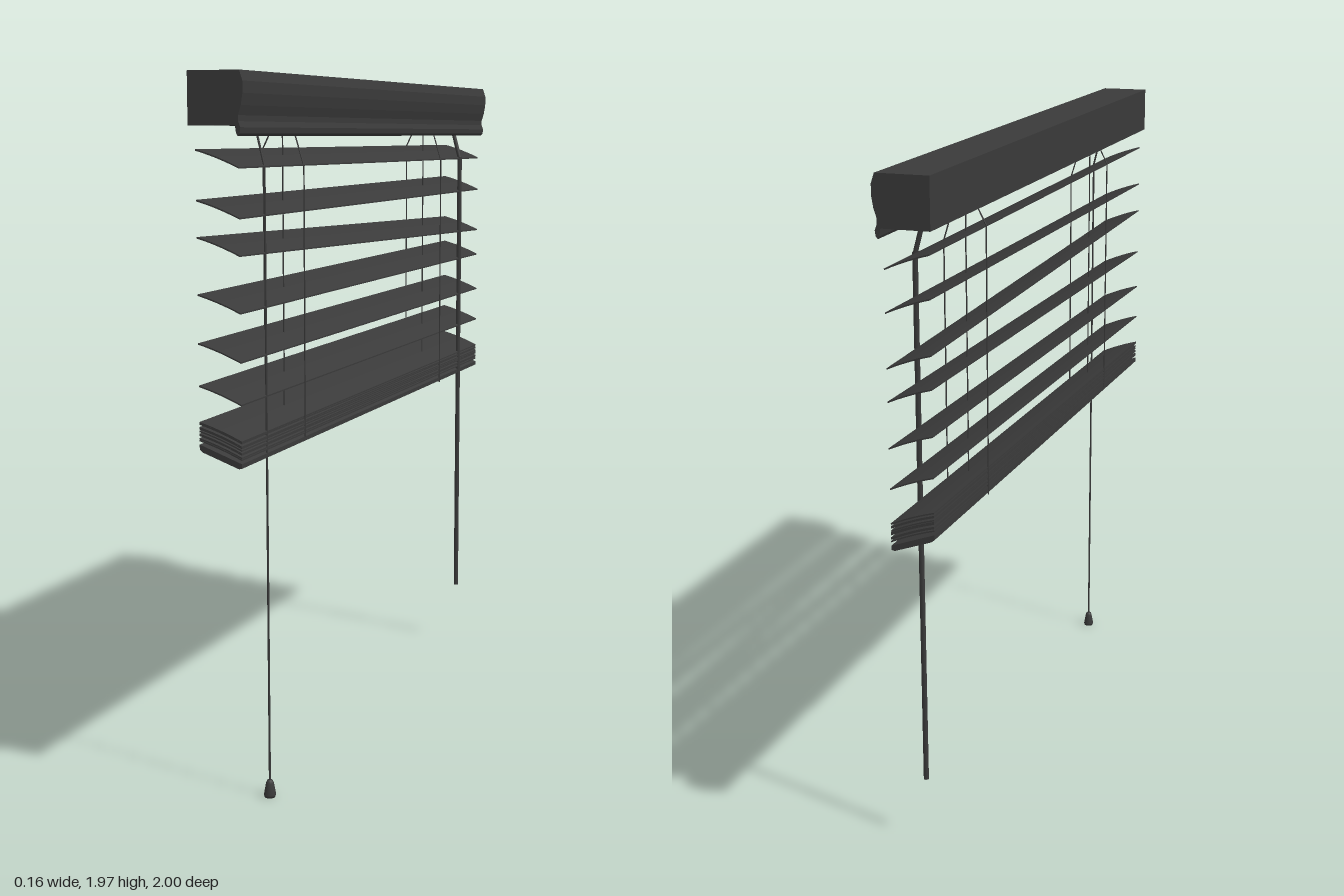
import * as THREE from 'three';

const dark = new THREE.MeshStandardMaterial({ color: 0x3a3a3a, side: THREE.DoubleSide });

// Extrudes an (x, y) outline along z, centred on z = 0
function extrudeZ(points, length) {
  const shape = new THREE.Shape(points.map(([x, y]) => new THREE.Vector2(x, y)));
  const geo = new THREE.ExtrudeGeometry(shape, { depth: length, bevelEnabled: false });
  return geo.translate(0, 0, -length / 2);
}

// Straight round rod between two points
function rod(name, a, b, r, sides = 6) {
  const from = new THREE.Vector3(...a), to = new THREE.Vector3(...b);
  const dir = to.clone().sub(from);
  const mesh = new THREE.Mesh(new THREE.CylinderGeometry(r, r, dir.length(), sides), dark);
  mesh.position.copy(from).add(to).multiplyScalar(0.5);
  mesh.quaternion.setFromUnitVectors(new THREE.Vector3(0, 1, 0), dir.normalize());
  mesh.name = name;
  return mesh;
}

export function createModel() {
  const model = new THREE.Group();
  model.name = 'venetianBlind';
  const add = (name, geo) => {
    const mesh = new THREE.Mesh(geo, dark);
    mesh.name = name;
    model.add(mesh);
    return mesh;
  };

  // Head box, and the moulded valance with a lip along its lower edge
  add('headrail', extrudeZ([[-0.08, 1.835], [0.052, 1.835], [0.052, 1.972], [-0.08, 1.972]], 2));
  add('valance', extrudeZ([
    [0.052, 1.972], [0.052, 1.84], [0.056, 1.815], [0.06, 1.808], [0.066, 1.815],
    [0.068, 1.83], [0.062, 1.845], [0.062, 1.86], [0.07, 1.885], [0.075, 1.915],
    [0.075, 1.945], [0.07, 1.96], [0.066, 1.972],
  ], 2));

  // Slightly crowned slat, pitched down towards the front
  const halfWidth = 0.061, drop = 0.022, span = 1.966, thick = 0.004;
  const upper = [], lower = [];
  for (let i = 0; i <= 6; i++) {
    const t = i / 3 - 1;
    const y = -t * drop + 0.003 * (1 - t * t);
    upper.push([t * halfWidth, y + thick / 2]);
    lower.unshift([t * halfWidth, y - thick / 2]);
  }
  const slatGeo = extrudeZ([...upper, ...lower], span);
  const addSlat = (name, y, rise) => {
    const slat = add(name, slatGeo);
    slat.position.set(-0.007, y, 0);
    slat.rotation.x = rise / span;
  };

  // Hanging slats: [height, rise towards the back end]
  [[1.751, 0], [1.631, 0.016], [1.511, -0.034], [1.393, 0.025], [1.267, 0.027], [1.156, 0.027]]
    .forEach(([y, rise]) => addSlat('slat', y, rise));

  // Gathered slats lying loosely on the bottom rail
  for (let i = 0; i < 9; i++) {
    addSlat('gatheredSlat', 1.012 + i * 0.006, 0.026 + 0.004 * Math.sin(i * 2.4));
  }
  const rail = add('bottomRail', extrudeZ([
    [-0.061, 0.03], [-0.061, 0.016], [-0.052, 0.009], [0.052, -0.028],
    [0.061, -0.026], [0.061, -0.014],
  ], span));
  rail.position.set(-0.007, 0.993, 0);
  rail.rotation.x = 0.025 / span;

  // Ladder strings and lift cords, mirrored at both ends
  for (const z of [0.575, -0.575]) {
    const ladder = new THREE.Group();
    ladder.name = 'ladder';
    const r = 0.002;
    ladder.add(
      rod('backStringTop', [-0.035, 1.84, z], [-0.068, 1.775, z], r),
      rod('backString', [-0.068, 1.775, z], [-0.068, 1.01, z], r),
      rod('frontStringTop', [0.02, 1.84, z], [0.055, 1.727, z], r),
      rod('frontString', [0.055, 1.727, z], [0.055, 0.97, z], r),
      rod('liftCord', [-0.009, 1.84, z], [-0.009, 1.0, z], r),
    );
    model.add(ladder);
  }

  // Tilt wand with its angled hook
  model.add(
    rod('wandHook', [0.022, 1.84, -0.785], [0.052, 1.73, -0.785], 0.007, 8),
    rod('wand', [0.052, 1.735, -0.785], [0.052, 0.2, -0.785], 0.008, 8),
  );

  // Pull cord and tassel
  model.add(
    rod('pullCordTop', [0.025, 1.84, 0.825], [0.052, 1.73, 0.825], 0.003),
    rod('pullCord', [0.052, 1.73, 0.825], [0.052, 0.04, 0.825], 0.003),
  );
  const tassel = add('tassel', new THREE.LatheGeometry(
    [[0, 0], [0.015, 0], [0.017, 0.008], [0.011, 0.04], [0.008, 0.048], [0, 0.05]]
      .map(([x, y]) => new THREE.Vector2(x, y)), 12));
  tassel.position.set(0.052, 0, 0.825);

  return model;
}
